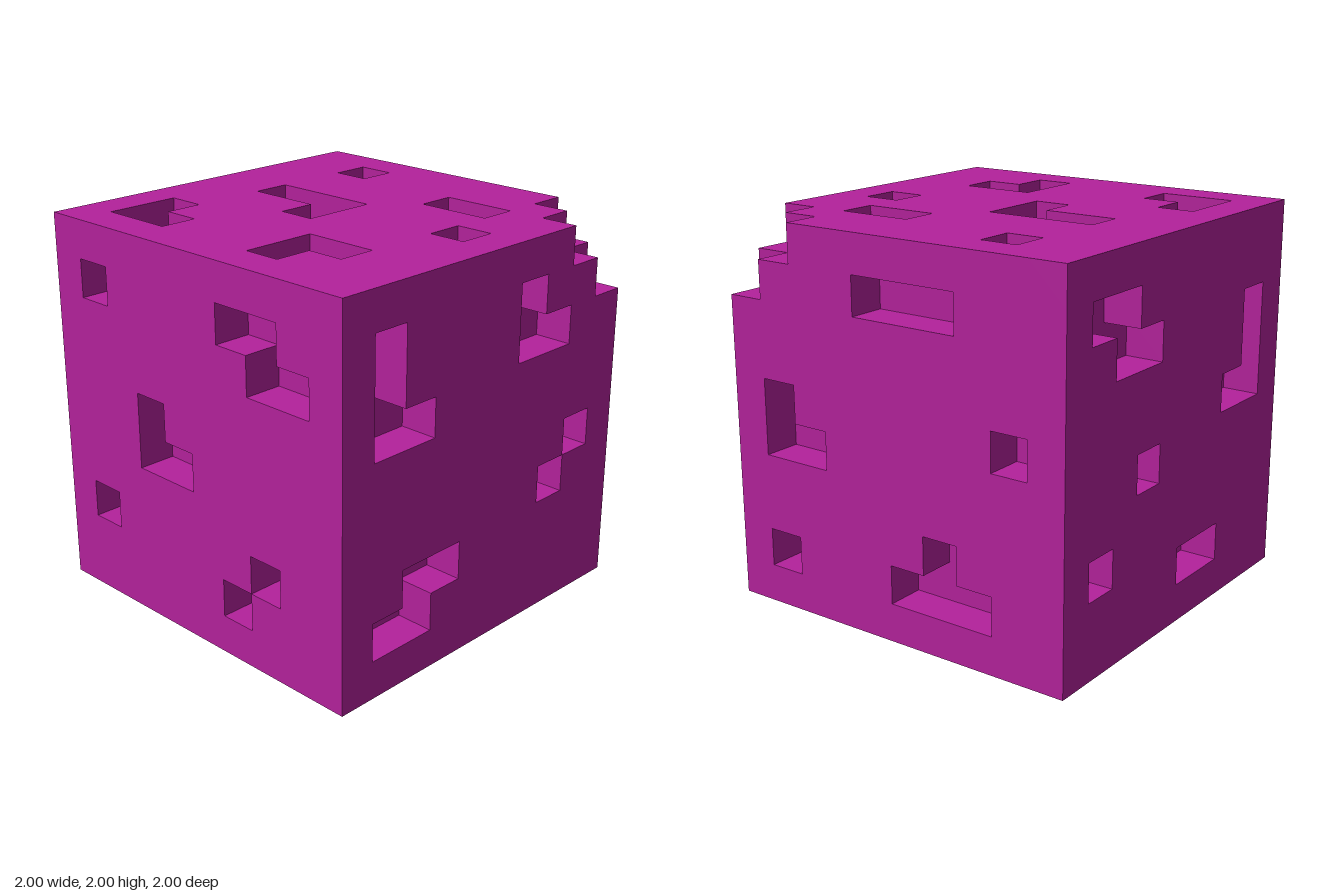
import * as THREE from 'three';

const N = 10;        // cells along each side
const S = 2 / N;     // cell size

// Recesses one cell deep on each side, as [column, row] cell pairs.
// front/back use (x, y), left/right use (z, y), top/bottom use (x, z).
const recesses = {
  front: [[1, 8], [6, 8], [7, 8], [7, 7], [8, 7], [3, 5], [3, 4], [4, 4], [1, 2], [7, 2], [6, 1]],
  back: [[3, 8], [4, 8], [5, 8], [8, 5], [8, 4], [7, 4], [1, 5], [8, 1], [3, 2], [2, 1], [3, 1], [4, 1]],
  left: [[8, 8], [8, 7], [8, 6], [7, 6], [3, 8], [3, 7], [2, 7], [1, 4], [2, 3], [7, 2], [6, 2], [8, 1], [7, 1]],
  right: [[1, 8], [2, 8], [2, 7], [3, 7], [8, 7], [8, 6], [8, 5], [7, 5], [3, 4], [1, 2], [5, 1], [6, 1]],
  top: [[2, 1], [6, 2], [7, 2], [8, 4], [2, 4], [3, 4], [4, 4], [4, 5], [1, 7], [1, 8], [2, 8], [6, 7], [7, 7], [6, 8]],
  bottom: [[8, 1], [7, 1], [6, 4], [8, 7], [8, 8], [7, 8], [4, 6], [3, 6], [3, 7], [2, 7], [1, 1], [1, 2], [2, 2], [3, 2]],
};

const toCell = {
  front: (a, b) => [a, b, N - 1],
  back: (a, b) => [a, b, 0],
  left: (a, b) => [N - 1, b, a],
  right: (a, b) => [0, b, a],
  top: (a, b) => [a, N - 1, b],
  bottom: (a, b) => [a, 0, b],
};

function carvedCells() {
  const carved = new Set();
  for (const side in recesses) {
    for (const [a, b] of recesses[side]) carved.add(toCell[side](a, b).join());
  }
  // stepped notch in the upper back corner
  for (const c of [[9, 9, 0], [8, 9, 0], [9, 8, 0], [9, 9, 1]]) carved.add(c.join());
  return carved;
}

// Skin of the carved block: one quad wherever a solid cell meets an empty one
function blockGeometry() {
  const carved = carvedCells();
  const solid = (c) => c.every((v) => v >= 0 && v < N) && !carved.has(c.join());
  const positions = [], normals = [], indices = [];

  const addFace = (cell, axis, sign) => {
    const u = (axis + 1) % 3, v = (axis + 2) % 3;
    const start = positions.length / 3;
    for (const [du, dv] of [[0, 0], [1, 0], [1, 1], [0, 1]]) {
      const p = [...cell];
      p[axis] += sign > 0 ? 1 : 0;
      p[u] += du;
      p[v] += dv;
      positions.push(p[0] * S - 1, p[1] * S, p[2] * S - 1);
      const n = [0, 0, 0];
      n[axis] = sign;
      normals.push(...n);
    }
    const order = sign > 0 ? [0, 1, 2, 0, 2, 3] : [0, 2, 1, 0, 3, 2];
    indices.push(...order.map((k) => start + k));
  };

  for (let x = 0; x < N; x++) for (let y = 0; y < N; y++) for (let z = 0; z < N; z++) {
    const cell = [x, y, z];
    if (!solid(cell)) continue;
    for (let axis = 0; axis < 3; axis++) for (const sign of [-1, 1]) {
      const next = [...cell];
      next[axis] += sign;
      if (!solid(next)) addFace(cell, axis, sign);
    }
  }

  const geometry = new THREE.BufferGeometry();
  geometry.setAttribute('position', new THREE.Float32BufferAttribute(positions, 3));
  geometry.setAttribute('normal', new THREE.Float32BufferAttribute(normals, 3));
  geometry.setIndex(indices);
  return geometry;
}

export function createModel() {
  const magenta = new THREE.MeshStandardMaterial({ color: 0xb4229c });
  magenta.name = 'magenta';

  const block = new THREE.Mesh(blockGeometry(), magenta);
  block.name = 'carvedBlock';

  const model = new THREE.Group();
  model.name = 'carvedCube';
  model.add(block);
  return model;
}
